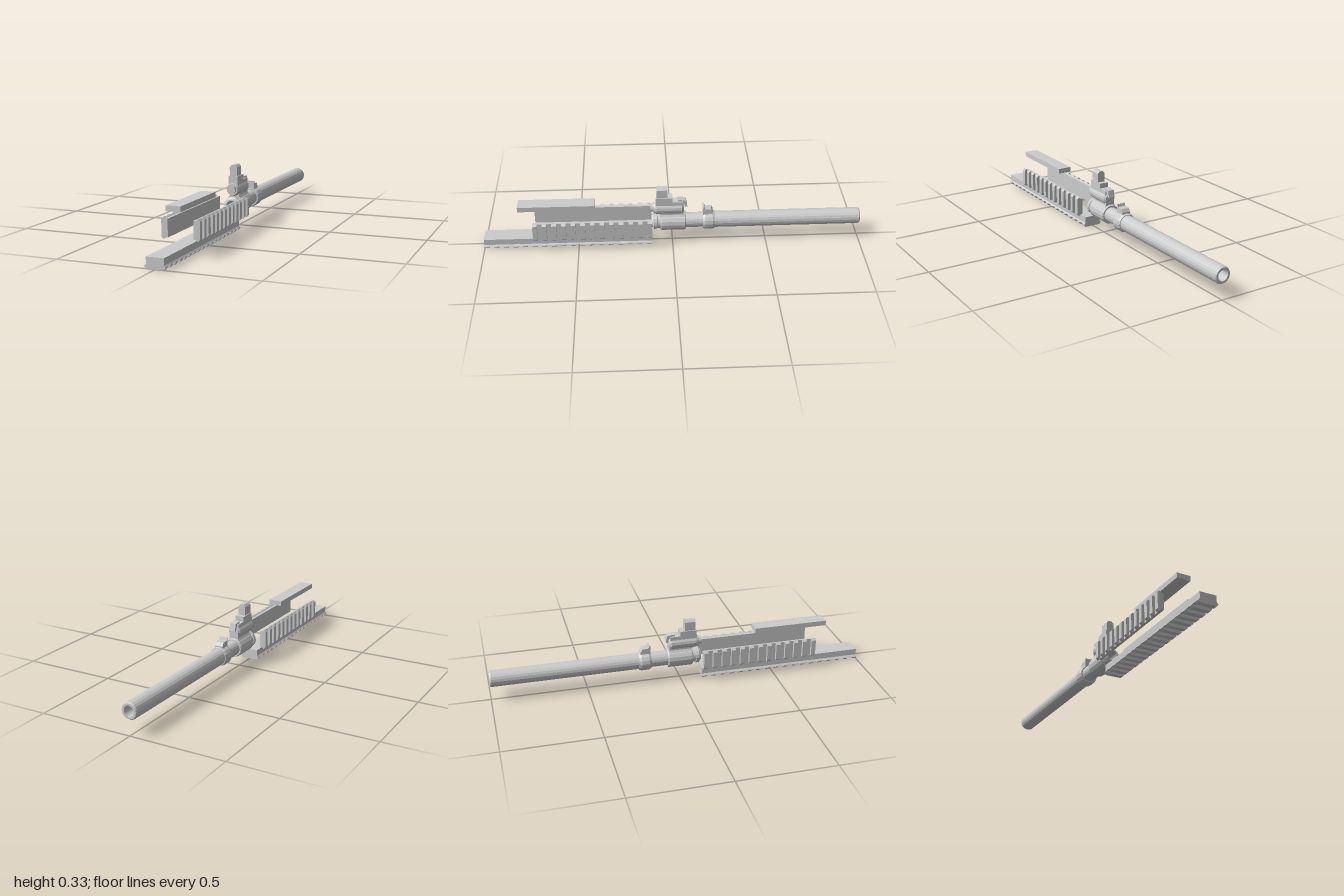
import * as THREE from 'three';

const AXIS_Y = 0.121; // barrel axis height
const PITCH = 0.05, TOOTH = 0.024; // rail slot spacing and tooth width

export function createModel() {
  const model = new THREE.Group();
  const flat = new THREE.MeshStandardMaterial({ color: 0xcccccc, flatShading: true });

  const add = (name, geometry, parent = model) => {
    const mesh = new THREE.Mesh(geometry, flat);
    mesh.name = name;
    parent.add(mesh);
    return mesh;
  };
  const polygon = (pts) => new THREE.Shape(pts.map(([x, y]) => new THREE.Vector2(x, y)));

  // x-y profile extruded from z0 to z1
  const alongZ = (pts, z0, z1) => {
    const g = new THREE.ExtrudeGeometry(polygon(pts), { depth: z1 - z0, bevelEnabled: false });
    return g.translate(0, 0, z0);
  };
  // z-y profile extruded symmetrically across x
  const acrossX = (pts, width) => {
    const g = new THREE.ExtrudeGeometry(polygon(pts), { depth: width, bevelEnabled: false });
    return g.translate(0, 0, -width / 2).rotateY(-Math.PI / 2);
  };
  // [radius, z] profile turned about a lengthwise axis at height y
  const turned = (pts, y, sides = 16) => {
    const g = new THREE.LatheGeometry(pts.map(([r, z]) => new THREE.Vector2(r, z)), sides);
    return g.rotateX(Math.PI / 2).translate(0, y, 0);
  };
  const rect = (w, y0, y1) => [[-w, y0], [w, y0], [w, y1], [-w, y1]];

  // Hollow barrel with rounded muzzle
  add('barrel', turned([
    [0.028, -1], [0.039, -1], [0.043, -0.993], [0.043, -0.2], [0.04, -0.2],
    [0.04, 0.09], [0.033, 0.11], [0.0275, 0.11], [0.0275, -1],
  ], AXIS_Y, 20));

  // Collar with a raised lug
  add('barrelCollar', turned([
    [0.04, -0.225], [0.047, -0.225], [0.052, -0.212], [0.052, -0.172], [0.047, -0.16], [0.04, -0.16],
  ], AXIS_Y));
  add('collarLug', acrossX([
    [-0.215, 0.15], [-0.162, 0.15], [-0.162, 0.212], [-0.168, 0.212], [-0.172, 0.198], [-0.205, 0.196], [-0.215, 0.178],
  ], 0.045));

  // Gas block: lower sleeve, connecting web and upper tube
  const block = new THREE.Group();
  block.name = 'gasBlock';
  model.add(block);
  add('sleeve', turned([
    [0.039, -0.07], [0.048, -0.07], [0.052, -0.064], [0.052, 0.058], [0.048, 0.065], [0.039, 0.065],
  ], AXIS_Y), block);
  add('frontRing', turned([[0.039, 0.08], [0.045, 0.083], [0.045, 0.1], [0.039, 0.104]], AXIS_Y), block);
  add('web', alongZ([
    [-0.036, 0.155], [0.036, 0.155], [0.025, 0.172], [0.025, 0.2], [-0.025, 0.2], [-0.025, 0.172],
  ], -0.06, 0.065), block);
  add('gasTube', turned([
    [0, -0.06], [0.026, -0.06], [0.035, -0.05], [0.035, 0.085], [0.03, 0.1], [0.022, 0.1], [0.022, 0.115], [0, 0.115],
  ], 0.205), block);

  // Folding front sight on a stepped base
  const sight = new THREE.Group();
  sight.name = 'frontSight';
  model.add(sight);
  add('sightBase', alongZ(rect(0.025, 0.21, 0.249), -0.055, 0.09), sight);
  add('sightStep', alongZ(rect(0.025, 0.245, 0.275), 0.0, 0.086), sight);
  add('sightPost', alongZ([
    [-0.02, 0.27], [0.02, 0.27], [0.02, 0.322], [0.01, 0.333], [-0.01, 0.333], [-0.02, 0.322],
  ], 0.026, 0.083), sight);
  add('rearLatch', acrossX([
    [-0.055, 0.215], [-0.025, 0.215], [-0.03, 0.26], [-0.07, 0.255], [-0.078, 0.218], [-0.066, 0.215], [-0.06, 0.238], [-0.052, 0.238],
  ], 0.034), sight);

  // Slotted rail: solid base with evenly spaced full-height teeth
  const addRail = (name, base, tooth, z0, z1) => {
    const rail = new THREE.Group();
    rail.name = name;
    model.add(rail);
    add('railBase', alongZ(base, z0, z1), rail);
    const count = Math.floor((z1 - z0 - TOOTH) / PITCH + 1.01);
    const step = (z1 - z0 - TOOTH) / (count - 1);
    const geometry = alongZ(tooth, 0, TOOTH);
    for (let i = 0; i < count; i++) add('railTooth', geometry, rail).position.z = z0 + i * step;
  };

  // Side rails, mirrored across x
  const sideBase = [[0.065, 0.081], [0.078, 0.081], [0.083, 0.077], [0.083, 0.174], [0.078, 0.17], [0.065, 0.17]];
  const sideTooth = [[0.082, 0.0775], [0.088, 0.073], [0.098, 0.083], [0.098, 0.168], [0.088, 0.178], [0.082, 0.1735]];
  for (const [name, s] of [['leftRail', 1], ['rightRail', -1]]) {
    const mirror = (pts) => pts.map(([x, y]) => [s * x, y]);
    addRail(name, mirror(sideBase), mirror(sideTooth), 0.11, 0.734);
  }

  // Long lower rail with teeth facing down
  addRail('lowerRail',
    [[-0.044, 0.055], [-0.044, 0.022], [-0.05, 0.015], [0.05, 0.015], [0.044, 0.022], [0.044, 0.055]],
    [[-0.05, 0.016], [-0.053, 0.011], [-0.043, 0], [0.043, 0], [0.053, 0.011], [0.05, 0.016]],
    0.115, 1);

  // Plain upper cover plate
  add('upperPlate', alongZ(rect(0.037, 0.222, 0.249), 0.41, 0.81));

  return model;
}
